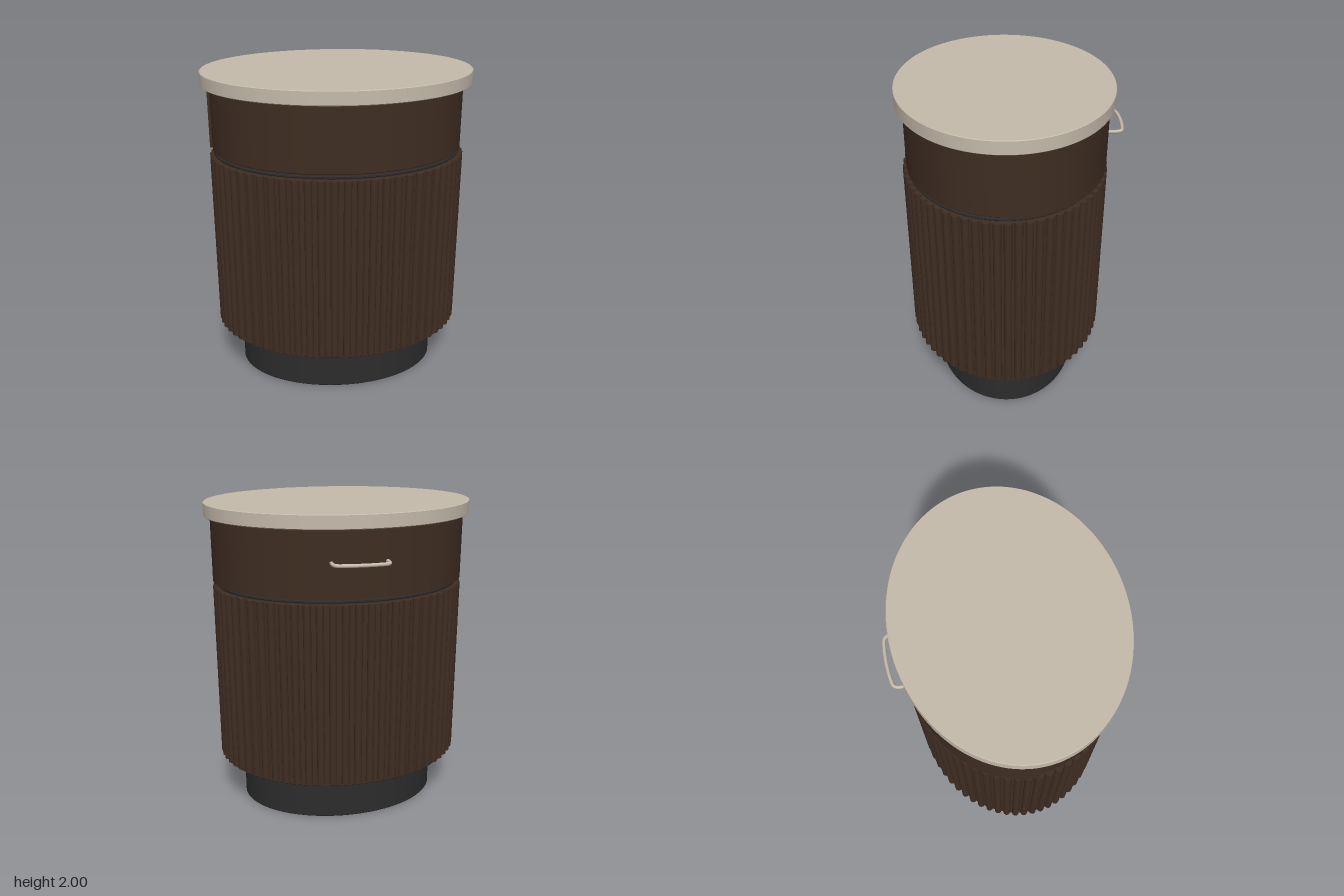
import * as THREE from 'three';
import { toCreasedNormals } from 'three/addons/utils/BufferGeometryUtils.js';

const CZ = 0.03; // centre of the oval body in z

function mat(name, color) {
  const m = new THREE.MeshStandardMaterial({ color });
  m.name = name;
  return m;
}

export function createModel() {
  const group = new THREE.Group();
  const wood = mat('dark walnut', 0x3f2d22);
  const stone = mat('warm beige', 0xc6bbac);
  const black = mat('charcoal', 0x2c2c2c);

  const add = (name, geometry, material) => {
    const mesh = new THREE.Mesh(geometry, material);
    mesh.name = name;
    group.add(mesh);
    return mesh;
  };

  // Oval disc with small bevelled rims
  const oval = (name, rx, rz, y0, y1, material, bevel = 0.004) => {
    const b = bevel / rx;
    const profile = [[0, y0], [1 - b, y0], [1, y0 + bevel], [1, y1 - bevel], [1 - b, y1], [0, y1]]
      .map(([r, y]) => new THREE.Vector2(r, y));
    const g = toCreasedNormals(new THREE.LatheGeometry(profile, 128).scale(rx, 1, rz), 0.5);
    add(name, g, material).position.z = CZ;
  };

  oval('plinth', 0.65, 0.467, 0, 0.305, black);
  oval('cabinetCore', 0.78, 0.615, 0.303, 1.476, wood);
  oval('recess', 0.768, 0.603, 1.47, 1.917, wood);
  oval('shadowGapRing', 0.78, 0.615, 1.484, 1.502, black);
  oval('drawerBand', 0.785, 0.62, 1.51, 1.906, wood);
  oval('tabletop', 0.84, 0.665, 1.916, 2, stone);

  // Drawer front: a slightly proud half-oval at the back
  const half = new THREE.Shape();
  half.moveTo(0.803, 0);
  half.absellipse(0, 0, 0.803, 0.635, 0, Math.PI, false, 0);
  half.closePath();
  const front = new THREE.ExtrudeGeometry(half, { depth: 0.396, bevelEnabled: false, curveSegments: 64 });
  front.rotateX(-Math.PI / 2);
  add('drawerFront', toCreasedNormals(front, 0.5), wood).position.set(0, 1.51, CZ);

  // Rounded vertical slats around the body
  const COUNT = 64;
  const slat = new THREE.CylinderGeometry(0.024, 0.024, 1.15, 14);
  const slats = new THREE.Group();
  slats.name = 'slats';
  for (let i = 0; i < COUNT; i++) {
    const a = (i / COUNT) * Math.PI * 2;
    const mesh = new THREE.Mesh(slat, wood);
    mesh.name = 'slat';
    mesh.position.set(0.781 * Math.sin(a), 0.9, CZ + 0.619 * Math.cos(a));
    slats.add(mesh);
  }
  group.add(slats);

  // Bowed pull handle
  const path = new THREE.CatmullRomCurve3([
    [-0.163, -0.585], [-0.163, -0.645], [-0.15, -0.67], [-0.115, -0.68], [0, -0.688],
    [0.115, -0.68], [0.15, -0.67], [0.163, -0.645], [0.163, -0.585],
  ].map(([x, z]) => new THREE.Vector3(x, 1.725, z)));
  add('handle', new THREE.TubeGeometry(path, 64, 0.011, 12), stone);

  return group;
}
